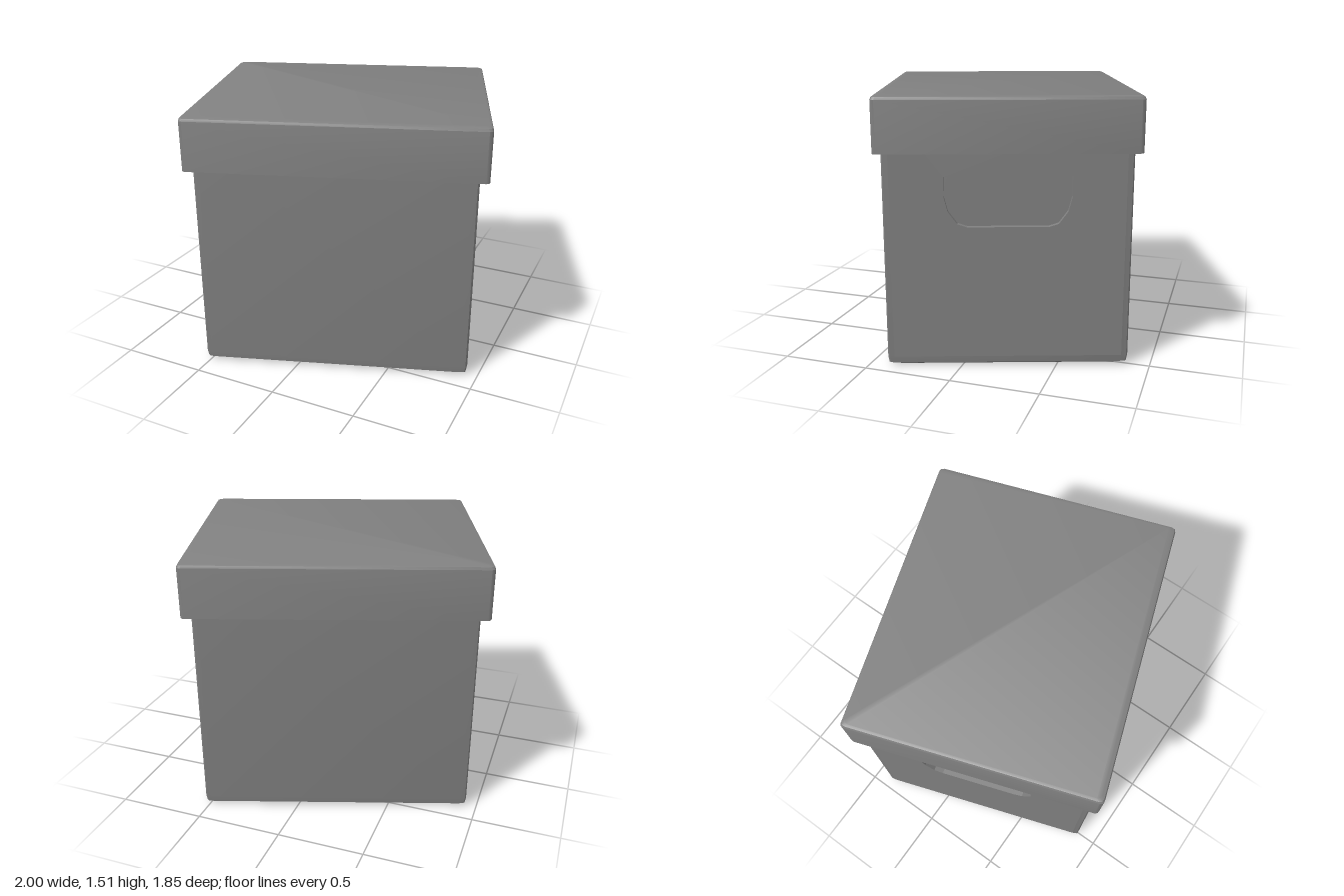
import * as THREE from 'three';
import { mergeVertices, toCreasedNormals } from 'three/addons/utils/BufferGeometryUtils.js';

// Footprint of a rectangle with softened corners; a = gentle start, b = tight bevel, c = slight inset.
// Points run from +x towards +z, four per corner.
function footprint(hx, hz, inset, { a, b, c }) {
  const X = hx - inset, Z = hz - inset;
  const corner = [[X, Z - a], [X - c, Z - b], [X - b, Z - c], [X - a, Z]];
  const flip = (sx, sz, list) => list.map(([x, z]) => [x * sx, z * sz]);
  const back = [...corner].reverse();
  return [...corner, ...flip(-1, 1, back), ...flip(-1, -1, corner), ...flip(1, -1, back)];
}

// Skin through rings [y, inset]; skip(ring, side) leaves a panel open.
function loft(hx, hz, rings, soft, { capTop = false, capBottom = false, skip = () => false }) {
  const loops = rings.map(([y, inset]) => footprint(hx, hz, inset, soft).map(([x, z]) => [x, y, z]));
  const n = loops[0].length, pos = [];
  const tri = (p, q, r) => pos.push(...p, ...q, ...r);
  for (let k = 0; k < loops.length - 1; k++) {
    for (let i = 0; i < n; i++) {
      if (skip(k, i)) continue;
      const j = (i + 1) % n, lo = loops[k], hi = loops[k + 1];
      tri(lo[i], hi[i], hi[j]);
      tri(lo[i], hi[j], lo[j]);
    }
  }
  const top = loops[loops.length - 1], bottom = loops[0];
  for (let i = 1; i < n - 1; i++) {
    if (capTop) tri(top[0], top[i + 1], top[i]);
    if (capBottom) tri(bottom[0], bottom[i], bottom[i + 1]);
  }
  const g = new THREE.BufferGeometry();
  g.setAttribute('position', new THREE.Float32BufferAttribute(pos, 3));
  return toCreasedNormals(mergeVertices(g, 1e-5), 0.5);
}

export function createModel() {
  const model = new THREE.Group();
  const box = new THREE.Group();
  box.name = 'storageBox';
  box.rotation.y = 0.324;
  model.add(box);

  const grey = new THREE.MeshStandardMaterial({ color: 0x808080, side: THREE.DoubleSide });
  grey.name = 'grey card';
  const add = (name, geometry) => {
    const mesh = new THREE.Mesh(geometry, grey);
    mesh.name = name;
    box.add(mesh);
    return mesh;
  };

  const hx = 0.7735, hz = 0.672, edge = 0.04, wall = 0.03, base = 0.06, top = 1.46;

  // Outer body: bevelled foot, soft corners, open on the flat of both handle ends
  add('body', loft(hx, hz, [[0, 0.045], [0.022, 0.006], [base, 0], [top, 0]],
    { a: edge, b: 0.012, c: 0.004 },
    { capBottom: true, skip: (k, i) => k === 2 && (i === 7 || i === 15) }));

  // Handle ends: thick walls with a slot, square above and rounded below
  const w = hz - edge;
  const end = new THREE.Shape([[-w, base], [w, base], [w, top], [-w, top]]
    .map(([x, y]) => new THREE.Vector2(x, y)));
  const half = [[0.343, 1.08], [0.343, 0.97], [0.322, 0.89], [0.272, 0.822], [0.22, 0.805]];
  const slot = [...half, ...half.map(([x, y]) => [-x, y]).reverse()];
  end.holes.push(new THREE.Path(slot.map(([x, y]) => new THREE.Vector2(x, y))));
  const endGeometry = new THREE.ExtrudeGeometry(end, { depth: wall, bevelEnabled: false });
  for (const side of [1, -1]) {
    const mesh = add(side > 0 ? 'leftHandleEnd' : 'rightHandleEnd', endGeometry);
    mesh.rotation.y = side * Math.PI / 2;
    mesh.position.x = side * (hx - wall);
  }

  // Inner faces of the long walls and the floor
  for (const side of [1, -1]) {
    const liner = add(side > 0 ? 'frontLiner' : 'backLiner',
      new THREE.BoxGeometry(2 * (hx - wall), top - base, 0.02));
    liner.position.set(0, (top + base) / 2, side * (w - 0.01));
  }
  add('floor', new THREE.BoxGeometry(2 * (hx - wall), 0.02, 2 * w)).position.y = base;

  // Overhanging lid, open underneath
  add('lid', loft(0.8225, 0.708, [[1.21, 0], [1.49, 0], [1.504, 0.006], [1.51, 0.02]],
    { a: 0.022, b: 0.007, c: 0.006 }, { capTop: true }));

  return model;
}
